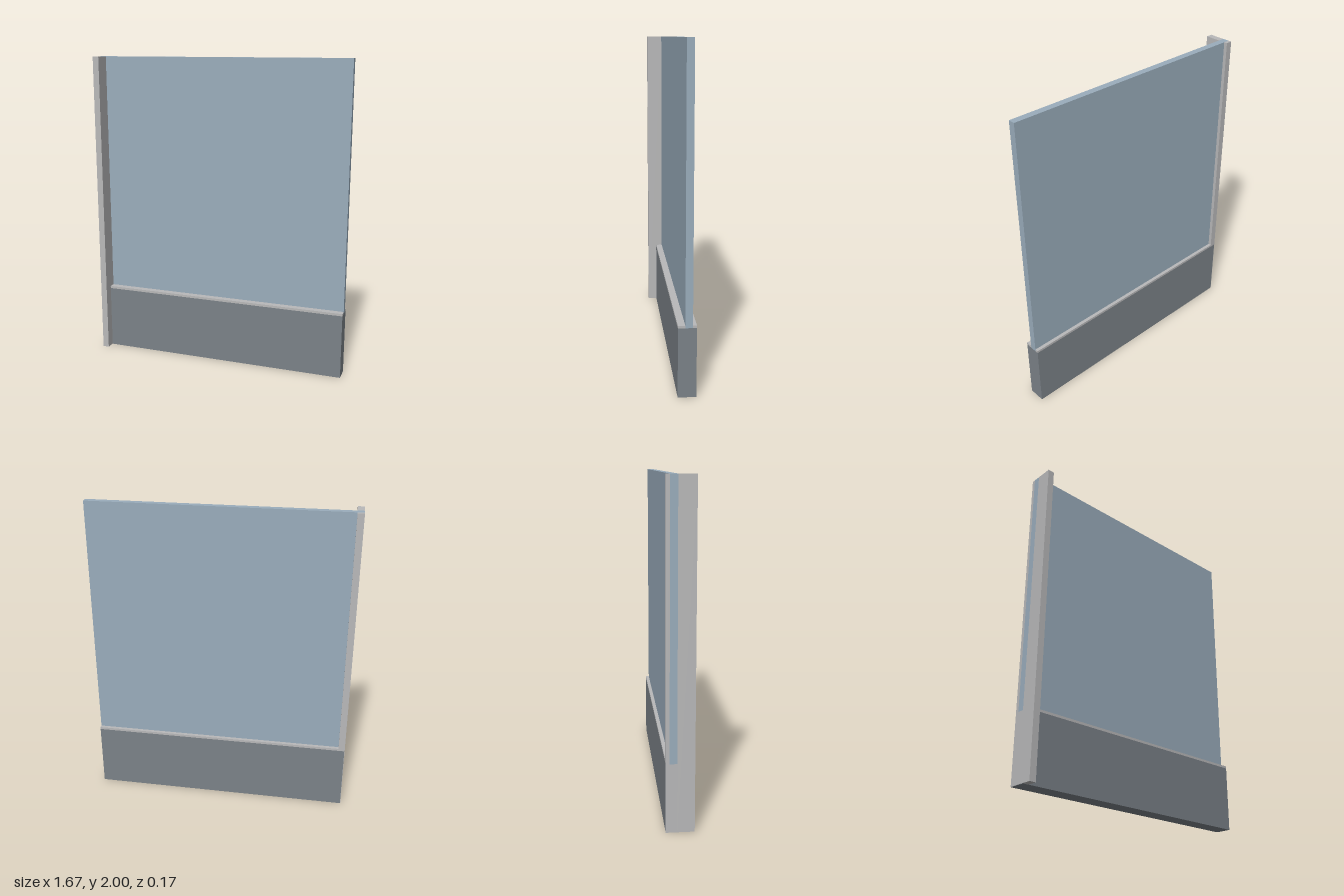
import * as THREE from 'three';

export function createModel() {
  const group = new THREE.Group();
  const material = (name, color) => {
    const m = new THREE.MeshStandardMaterial({ color });
    m.name = name;
    return m;
  };
  const glass = material('blue glass', 0x9aadbc);
  const frame = material('light grey frame', 0xb9b9ba);
  const plinth = material('dark grey base', 0x7b8288);

  // Box given by its minimum and maximum on each axis
  const box = (name, mat, [x0, x1], [y0, y1], [z0, z1]) => {
    const mesh = new THREE.Mesh(new THREE.BoxGeometry(x1 - x0, y1 - y0, z1 - z0), mat);
    mesh.position.set((x0 + x1) / 2, (y0 + y1) / 2, (z0 + z1) / 2);
    mesh.name = name;
    group.add(mesh);
  };

  const side = 0.833, postInner = -0.792;
  const back = -0.083, front = 0.024, postFront = 0.083;
  const glassBack = -0.061, glassFront = -0.018;
  const baseTop = 0.417, capTop = 0.432, top = 2;

  // Solid base and the glass pane standing on it
  box('base', plinth, [-side + 0.002, side], [0, baseTop], [back, front]);
  box('glassPane', glass, [-side, side], [baseTop, top], [glassBack, glassFront]);

  // Ledges clamping the pane on both sides
  box('frontLedge', frame, [postInner, side], [baseTop, capTop], [glassFront, front]);
  box('backLedge', frame, [postInner, side], [baseTop, capTop], [back, glassBack]);

  // Post on one side, slotted for the pane
  box('postFront', frame, [-side, postInner], [0.001, top], [glassFront, postFront]);
  box('postBack', frame, [-side, postInner], [baseTop, top], [back, glassBack]);
  box('postSidePlate', frame, [-side, -side + 0.002], [0.001, baseTop], [back, glassFront]);

  return group;
}
